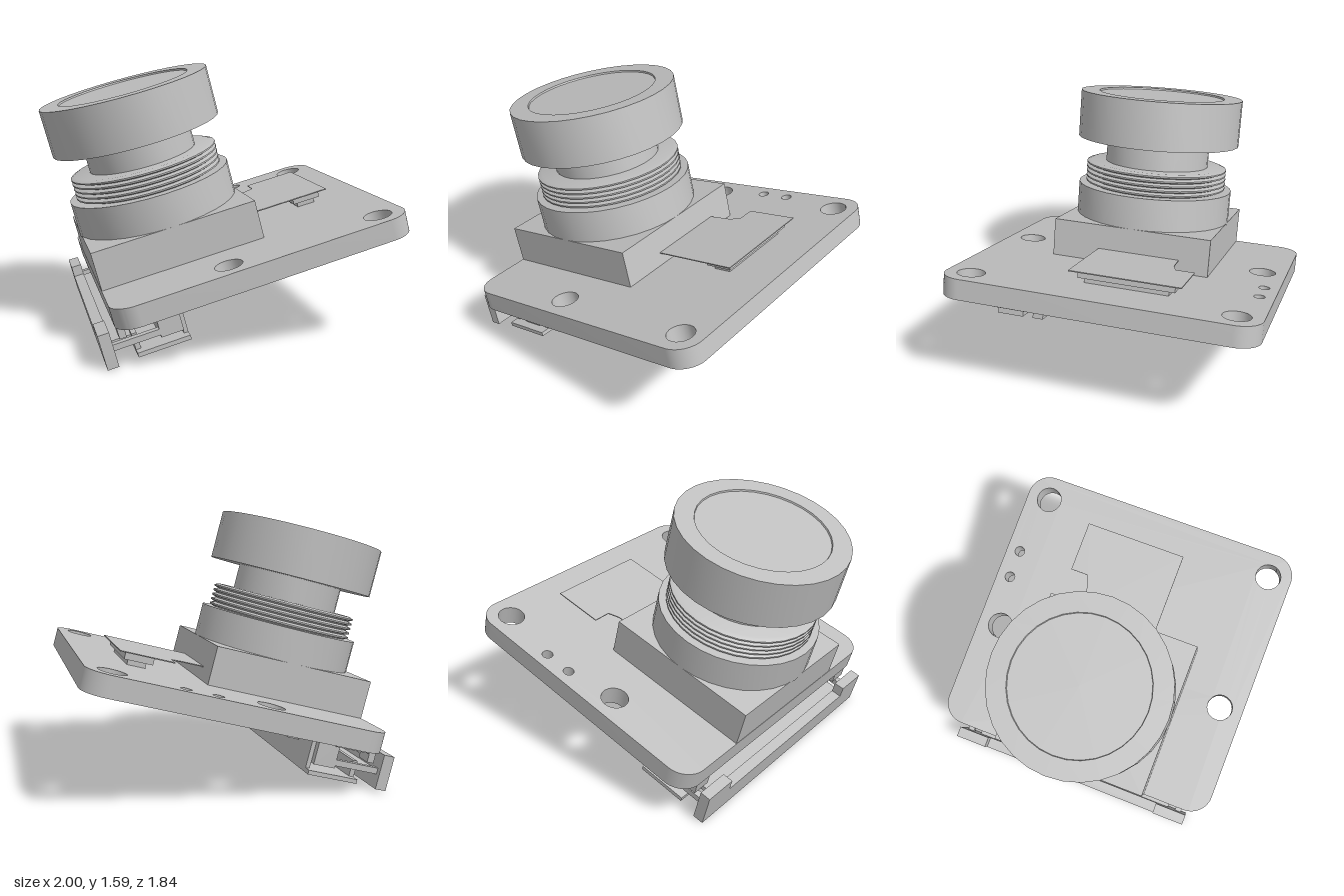
import * as THREE from 'three';
import { toCreasedNormals } from 'three/addons/utils/BufferGeometryUtils.js';

const grey = new THREE.MeshStandardMaterial({ color: 0xc0c0c0 });
grey.name = 'plain grey';

const BOARD_TOP = 0.533, BOARD_BOTTOM = 0.412;

export function createModel() {
  const model = new THREE.Group();
  model.name = 'cameraModule';
  // Everything is built square to the board, then tilted together.
  const tilted = new THREE.Group();
  tilted.name = 'tiltedAssembly';
  tilted.rotation.z = THREE.MathUtils.degToRad(15);
  model.add(tilted);

  const add = (name, geometry, parent = tilted) => {
    const mesh = new THREE.Mesh(geometry, grey);
    mesh.name = name;
    parent.add(mesh);
    return mesh;
  };
  const group = (name) => {
    const g = new THREE.Group();
    g.name = name;
    tilted.add(g);
    return g;
  };
  // Box given by its limits on each axis.
  const box = (name, x0, x1, y0, y1, z0, z1, parent) => {
    const g = new THREE.BoxGeometry(x1 - x0, y1 - y0, z1 - z0);
    g.translate((x0 + x1) / 2, (y0 + y1) / 2, (z0 + z1) / 2);
    return add(name, g, parent);
  };
  const polygon = (pts) => new THREE.Shape(pts.map(([x, y]) => new THREE.Vector2(x, y)));
  // Horizontal plate cut from an x-z outline.
  const plate = (shape, top, thickness) => {
    const g = new THREE.ExtrudeGeometry(shape, { depth: thickness, bevelEnabled: false, curveSegments: 10 });
    g.rotateX(Math.PI / 2);
    g.translate(0, top, 0);
    return toCreasedNormals(g, 0.6);
  };

  // Circuit board with rounded corners, four mounting holes and two small holes
  const x0 = -0.597, x1 = 1.148, h = 0.918, r = 0.14;
  const outline = new THREE.Shape();
  outline.moveTo(x0 + r, -h);
  outline.absarc(x1 - r, -h + r, r, -Math.PI / 2, 0);
  outline.absarc(x1 - r, h - r, r, 0, Math.PI / 2);
  outline.absarc(x0 + r, h - r, r, Math.PI / 2, Math.PI);
  outline.absarc(x0 + r, -h + r, r, Math.PI, Math.PI * 1.5);
  const holes = [[0.419, -0.829, 0.033], [0.602, -0.829, 0.033]];
  for (const x of [0.094, 0.996]) for (const z of [-0.77, 0.77]) holes.push([x, z, 0.081]);
  for (const [x, z, radius] of holes) {
    outline.holes.push(new THREE.Path().absarc(x, z, radius, 0, Math.PI * 2, true));
  }
  add('circuitBoard', plate(outline, BOARD_TOP, BOARD_TOP - BOARD_BOTTOM));

  // Lens holder and barrel
  box('lensHolderBlock', -0.595, 0.39, BOARD_TOP, 0.762, -0.48, 0.508);
  const lens = group('lens');
  lens.position.set(-0.105, 0, 0.014);
  const lathe = (name, pts) => add(name, toCreasedNormals(
    new THREE.LatheGeometry(pts.map(([a, b]) => new THREE.Vector2(a, b)), 32), 0.4), lens);
  lathe('lensHolderCollar', [[0, 0.75], [0.495, 0.75], [0.495, 0.959], [0, 0.959]]);
  const thread = [[0.425, 0.95]];
  const ridges = 5, pitch = 0.145 / ridges;
  for (let i = 0; i < ridges; i++) {
    const y = 0.959 + i * pitch;
    thread.push([0.425, y], [0.452, y + pitch * 0.35], [0.452, y + pitch * 0.65]);
  }
  thread.push([0.425, 1.104], [0, 1.104]);
  lathe('lensThread', thread);
  lathe('lensNeck', [[0.33, 1.1], [0.33, 1.26]]);
  lathe('lensCap', [[0, 1.255], [0.515, 1.255], [0.515, 1.546], [0.4, 1.546], [0.397, 1.536], [0, 1.536]]);

  // Flat flex sheet and the socket it plugs into
  add('flexSheet', plate(polygon([[0.38, -0.295], [0.53, -0.303], [0.597, -0.33], [0.597, -0.443],
    [0.92, -0.443], [0.92, 0.215], [0.38, 0.215]]), 0.613, 0.006));
  box('flexSocketBase', 0.74, 0.85, BOARD_TOP, 0.58, -0.36, 0.14);
  box('flexSocketTop', 0.71, 0.88, 0.565, 0.607, -0.4, 0.17);

  // Small components under the board: x range, z centre, z width, height
  const parts = group('undersideComponents');
  const chips = [
    [0.95, 1.05, 0.33, 0.06, 0.065], [0.91, 1.0, 0.133, 0.052, 0.055], [0.93, 1.0, 0.03, 0.052, 0.025],
    [0.91, 1.0, -0.11, 0.052, 0.055], [0.91, 1.0, -0.225, 0.052, 0.055], [0.93, 1.0, -0.37, 0.052, 0.025],
    [0.66, 0.74, -0.355, 0.055, 0.035], [0.64, 0.74, -0.51, 0.11, 0.04], [0.66, 0.74, -0.65, 0.055, 0.035],
    [0.33, 0.47, -0.5, 0.21, 0.045], [0.12, 0.2, -0.44, 0.12, 0.035],
    [0.11, 0.17, 0.55, 0.1, 0.06], [0.2, 0.26, 0.17, 0.1, 0.06], [0.11, 0.17, -0.15, 0.1, 0.06],
  ];
  for (const [a, b, z, w, t] of chips) {
    box('chipComponent', a, b, BOARD_BOTTOM - t, BOARD_BOTTOM, z - w / 2, z + w / 2, parts);
  }
  // Transistors, each with a capacitor beside it
  for (const z of [0.53, 0.165, -0.19]) {
    box('transistorBody', 0.34, 0.46, 0.335, 0.395, z - 0.1, z + 0.1, parts);
    box('transistorTab', 0.46, 0.51, 0.385, BOARD_BOTTOM, z - 0.03, z + 0.03, parts);
    for (const s of [-1, 1]) {
      box('transistorLeg', 0.29, 0.34, 0.385, BOARD_BOTTOM, z + s * 0.07 - 0.02, z + s * 0.07 + 0.02, parts);
    }
    box('capacitor', 0.58, 0.65, 0.342, BOARD_BOTTOM, z - 0.055, z + 0.055, parts);
  }
  // Stepped crystal can
  box('crystalBase', 0.86, 1.08, 0.385, BOARD_BOTTOM, 0.4, 0.58, parts);
  box('crystalLid', 0.88, 1.06, 0.348, 0.385, 0.415, 0.565, parts);

  // Ribbon connector: hollow housing extruded along its length
  const connector = group('ribbonConnector');
  const profile = polygon([[-0.52, 0.2], [-0.215, 0.2], [-0.215, 0.41], [-0.37, 0.41], [-0.37, 0.26],
    [-0.24, 0.26], [-0.24, 0.225], [-0.49, 0.225], [-0.49, 0.32], [-0.52, 0.32]]);
  const housing = new THREE.ExtrudeGeometry(profile, { depth: 1.46, bevelEnabled: false });
  housing.translate(0, 0, -0.73);
  add('connectorHousing', housing, connector);
  for (let i = 0; i < 15; i++) {
    const z = 0.518 - i * 0.0737;
    box('connectorPinFoot', -0.16, -0.07, 0.387, BOARD_BOTTOM, z - 0.015, z + 0.015, connector);
    box('connectorPinRise', -0.18, -0.145, 0.34, BOARD_BOTTOM, z - 0.015, z + 0.015, connector);
    box('connectorPinRoot', -0.22, -0.17, 0.34, 0.365, z - 0.015, z + 0.015, connector);
  }

  // Sliding latch with raised ends, side arms and solder tabs
  box('latchBar', -0.7, -0.635, 0.195, 0.33, -0.805, 0.805, connector);
  box('latchTongue', -0.64, -0.5, 0.27, 0.3, -0.68, 0.68, connector);
  for (const s of [-1, 1]) {
    const side = (name, a, b, y0, y1, zIn, zOut) =>
      box(name, a, b, y0, y1, Math.min(s * zIn, s * zOut), Math.max(s * zIn, s * zOut), connector);
    side('latchEnd', -0.7, -0.635, 0.32, 0.398, 0.6, 0.805);
    side('latchArm', -0.64, -0.34, 0.275, 0.31, 0.73, 0.77);
    side('housingEar', -0.37, -0.24, 0.26, 0.41, 0.72, 0.77);
    side('housingEarFoot', -0.52, -0.215, 0.2, 0.225, 0.72, 0.785);
    side('solderTab', -0.58, -0.34, 0.385, BOARD_BOTTOM, 0.67, 0.785);
    side('solderTabHook', -0.59, -0.55, 0.335, BOARD_BOTTOM, 0.67, 0.785);
  }

  return model;
}
